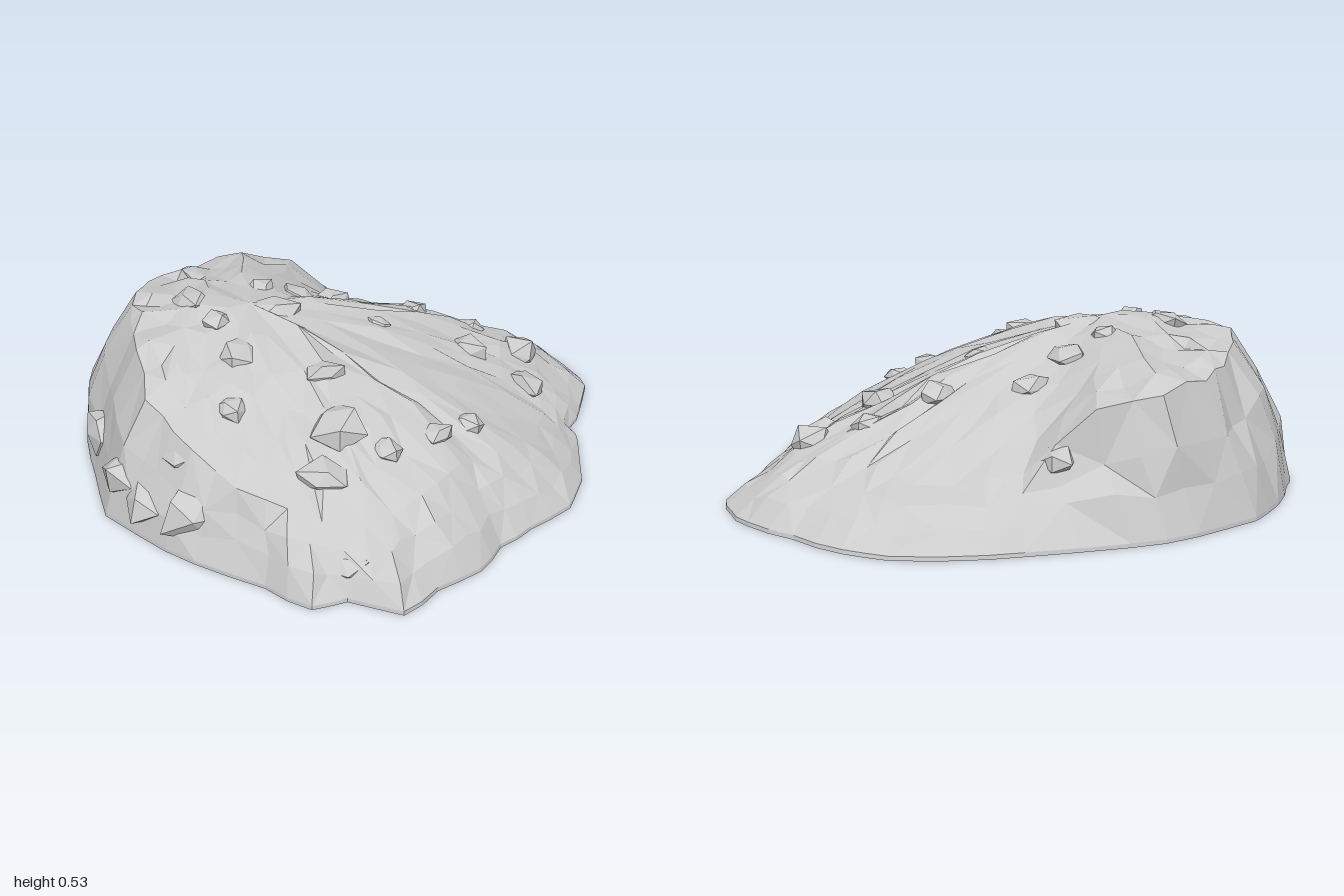
import * as THREE from 'three';

// Ground outline (x, z), clockwise seen from above, starting at the back
const OUTLINE = [
  0, -0.97, 0.1, -0.99, 0.37, -0.99, 0.5, -0.93, 0.65, -0.8, 0.8, -0.67, 0.87, -0.55, 0.905, -0.43,
  0.86, -0.25, 0.8, -0.1, 0.82, 0, 0.8, 0.25, 0.74, 0.42, 0.6, 0.55, 0.5, 0.65, 0.43, 0.78,
  0.3, 0.88, 0.2, 1, 0.04, 0.94, -0.06, 0.98, -0.2, 0.88, -0.42, 0.76, -0.6, 0.62, -0.73, 0.5,
  -0.81, 0.25, -0.88, 0.02, -0.905, -0.15, -0.87, -0.3, -0.8, -0.5, -0.7, -0.66, -0.5, -0.81, -0.3, -0.9,
];
// Rim where the walls meet the sloping top (x, z, y), matching the outline
const RIM = [
  0, -0.78, 0.19, 0.1, -0.78, 0.16, 0.3, -0.75, 0.14, 0.42, -0.65, 0.17, 0.5, -0.6, 0.18,
  0.6, -0.55, 0.17, 0.66, -0.5, 0.16, 0.7, -0.4, 0.15, 0.7, -0.25, 0.14, 0.7, -0.1, 0.12,
  0.7, 0, 0.11, 0.65, 0.2, 0.14, 0.55, 0.35, 0.18, 0.45, 0.45, 0.2, 0.38, 0.52, 0.22,
  0.3, 0.65, 0.22, 0.2, 0.75, 0.2, 0.13, 0.8, 0.18, 0.02, 0.81, 0.18, -0.08, 0.8, 0.2,
  -0.2, 0.77, 0.22, -0.36, 0.66, 0.27, -0.49, 0.55, 0.33, -0.58, 0.44, 0.39, -0.64, 0.26, 0.46,
  -0.7, 0.03, 0.47, -0.7, -0.14, 0.49, -0.68, -0.3, 0.47, -0.62, -0.47, 0.44, -0.54, -0.6, 0.42,
  -0.41, -0.74, 0.41, -0.2, -0.77, 0.36,
];
// Rings of the top: [share of the way to the peak, number of corners]
const TOP_RINGS = [[0.14, 64], [0.28, 64], [0.42, 32], [0.58, 32], [0.78, 16]];
// Stones on the top: x, z, radius
const STONES = [
  [-0.22, -0.02, 0.12], [-0.5, -0.05, 0.09], [-0.05, -0.4, 0.085], [-0.16, -0.27, 0.08],
  [0.25, -0.38, 0.08], [0.12, -0.1, 0.06], [0.45, -0.42, 0.07], [0.43, -0.2, 0.085],
  [0.64, -0.37, 0.1], [0.64, -0.17, 0.1], [-0.32, 0.24, 0.1], [-0.05, 0.31, 0.07],
  [0, 0.5, 0.11], [-0.03, 0.67, 0.09], [-0.32, 0.46, 0.07], [0.3, 0.45, 0.06],
  [0.41, 0.32, 0.06], [-0.4, 0.1, 0.06], [0.14, 0.56, 0.06], [-0.28, -0.2, 0.06],
];
// Boulders set in the walls: x, y, z, radius
const BOULDERS = [
  [-0.4, 0.12, 0.64, 0.14], [-0.46, 0.25, 0.54, 0.1], [-0.64, 0.13, 0.44, 0.12],
  [-0.77, 0.14, 0.2, 0.1], [-0.57, 0.1, 0.55, 0.1], [0.03, 0.05, 0.86, 0.08],
  [-0.1, 0.22, -0.77, 0.07],
];

function seeded(seed) {
  return () => {
    seed = (seed * 16807) % 2147483647;
    return seed / 2147483647 - 0.5;
  };
}

const material = new THREE.MeshStandardMaterial({ color: 0xcccccc, flatShading: true });

// Height of the two wall rings: [share of the way in, share of the rim height]
function wallSteps(i) {
  if (i > 30) return [[0.4, 0.4], [0.75, 0.6]]; // ledge at the back
  if (i > 27) return [[0.3, 0.32], [0.6, 0.62]]; // footing under the back corner
  if (i > 20 && i < 25) return [[0.2, 0.33], [0.5, 0.62]]; // steep front corner
  if (i > 24) return [[0.15, 0.38], [0.5, 0.72]]; // bulging side wall
  return [[0.28, 0.4], [0.62, 0.72]]; // gentle slopes
}

// Rings from the ground outline, up the walls and in to the peak
function moundGeometry() {
  const rnd = seeded(71);
  const n = OUTLINE.length / 2;
  const segs = n * 2;
  const peak = new THREE.Vector3(-0.3, 0.52, 0);
  const jitter = (p, a) => p.add(new THREE.Vector3(rnd() * a, rnd() * a, rnd() * a));
  const rings = Array.from({ length: 5 + TOP_RINGS.length }, () => []);
  for (let s = 0; s < segs; s++) {
    const i = s >> 1, k = (i + 1) % n, f = (s % 2) / 2;
    const at = (list, size, c) => THREE.MathUtils.lerp(list[i * size + c], list[k * size + c], f);
    const base = new THREE.Vector3(at(OUTLINE, 2, 0), 0, at(OUTLINE, 2, 1));
    if (f) base.multiplyScalar(1.006 + rnd() * 0.014);
    const rim = new THREE.Vector3(at(RIM, 3, 0), at(RIM, 3, 2), at(RIM, 3, 1));
    rings[0].push(base);
    rings[1].push(base.clone().lerp(rim, 0.01).setY(0.012));
    wallSteps(i).forEach(([inward, up], w) => {
      const p = base.clone().lerp(rim, inward).setY(rim.y * up);
      rings[2 + w].push(jitter(p, 0.025));
    });
    rings[4].push(jitter(rim.clone(), 0.02));
    TOP_RINGS.forEach(([t, count], r) => {
      if (s % (segs / count)) return;
      const p = rim.clone().lerp(peak, t);
      p.y += 0.12 * (0.55 - rim.y) * 4 * t * (1 - t);
      rings[5 + r].push(jitter(p, 0.03));
    });
  }
  const points = [...rings.flat(), peak, new THREE.Vector3(0, 0, 0)];
  const top = points.length - 2, bottom = top + 1;
  const index = [];
  let start = 0;
  rings.forEach((ring, r) => {
    const count = ring.length, next = start + count;
    const inner = r + 1 < rings.length ? rings[r + 1].length : 1;
    for (let j = 0; j < count; j++) {
      const a = start + j, b = start + ((j + 1) % count);
      if (r === 0) index.push(a, b, bottom);
      if (inner === 1) {
        index.push(a, top, b);
      } else if (inner === count) {
        const c = next + j, d = next + ((j + 1) % count);
        if ((j + r) % 2) index.push(a, c, d, a, d, b);
        else index.push(a, c, b, b, c, d);
      } else {
        // Two outer edges meet one inner edge
        const c = next + (j >> 1), d = next + (((j >> 1) + 1) % inner);
        if (j % 2) index.push(a, c, d, a, d, b);
        else index.push(a, c, b);
      }
    }
    start = next;
  });
  const geo = new THREE.BufferGeometry().setFromPoints(points);
  geo.setIndex(index);
  geo.computeVertexNormals();
  return geo;
}

// Irregular faceted stone
function stone(name, radius, seed, flat) {
  const rnd = seeded(seed * 977 + 13);
  const geo = new THREE.IcosahedronGeometry(radius, 0);
  const pos = geo.attributes.position;
  const moved = new Map();
  const v = new THREE.Vector3();
  for (let i = 0; i < pos.count; i++) {
    v.fromBufferAttribute(pos, i);
    const key = v.toArray().map((c) => Math.round(c * 1e4)).join();
    if (!moved.has(key)) moved.set(key, 1 + rnd() * 0.5);
    v.multiplyScalar(moved.get(key));
    pos.setXYZ(i, v.x * 0.8, v.y * flat, v.z);
  }
  geo.computeVertexNormals();
  const mesh = new THREE.Mesh(geo, material);
  mesh.name = name;
  mesh.rotation.y = seed * 1.7;
  return mesh;
}

export function createModel() {
  const group = new THREE.Group();
  group.name = 'rockMound';
  const mound = new THREE.Mesh(moundGeometry(), material);
  mound.name = 'mound';
  group.add(mound);
  mound.updateMatrixWorld();

  // Stones sunk into the top
  const ray = new THREE.Raycaster();
  const down = new THREE.Vector3(0, -1, 0);
  STONES.forEach(([x, z, r], i) => {
    ray.set(new THREE.Vector3(x, 2, z), down);
    const [hit] = ray.intersectObject(mound);
    const mesh = stone('stone', r, i + 1, 0.55);
    mesh.position.set(x, hit.point.y - r * 0.2, z);
    group.add(mesh);
  });

  // Boulders poking out of the walls
  BOULDERS.forEach(([x, y, z, r], i) => {
    const mesh = stone('wallBoulder', r, i + 40, 0.7);
    mesh.position.set(x, Math.max(y, r * 0.9), z);
    group.add(mesh);
  });
  return group;
}
